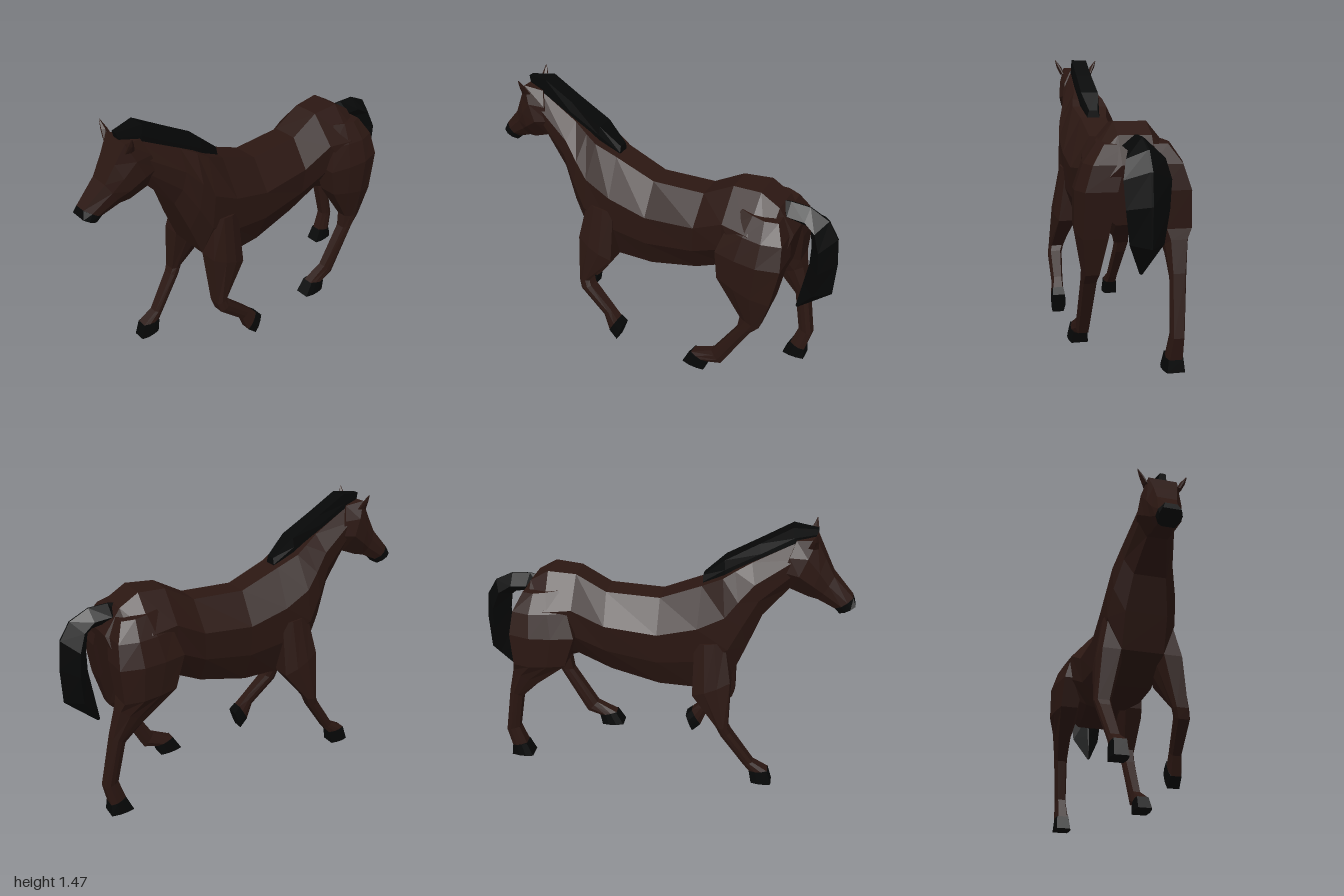
import * as THREE from 'three';

const coat = new THREE.MeshStandardMaterial({ color: 0x2b1712, flatShading: true });
const black = new THREE.MeshStandardMaterial({ color: 0x060707, flatShading: true });

// Skins a row of rings. Each ring is [az, ay, bz, by, xCentre, halfWidths]:
// it runs from edge point a to edge point b, with half widths spread between them.
function loft(name, material, rings) {
  const pos = [], index = [];
  const n = rings[0][5].length, m = n * 2;
  for (const [az, ay, bz, by, x, widths] of rings) {
    for (let k = 0; k < m; k++) {
      const i = k < n ? k : m - 1 - k;
      const t = i / (n - 1);
      pos.push(x + (k < n ? 1 : -1) * widths[i], ay + (by - ay) * t, az + (bz - az) * t);
    }
  }
  for (let r = 0; r < rings.length - 1; r++) {
    for (let k = 0; k < m; k++) {
      const a = r * m + k, b = r * m + (k + 1) % m;
      index.push(a, b, b + m, a, b + m, a + m);
    }
  }
  const last = (rings.length - 1) * m;
  for (let k = 1; k < m - 1; k++) {
    index.push(0, k + 1, k, last, last + k, last + k + 1);
  }
  const indexed = new THREE.BufferGeometry();
  indexed.setAttribute('position', new THREE.Float32BufferAttribute(pos, 3));
  indexed.setIndex(index);
  const geometry = indexed.toNonIndexed();
  geometry.computeVertexNormals();
  const mesh = new THREE.Mesh(geometry, material);
  mesh.name = name;
  return mesh;
}

// Limb rings are [backZ, backY, frontZ, frontY, xCentre, halfWidth]
const limb = (name, material, rings, profile) =>
  loft(name, material, rings.map(([az, ay, bz, by, x, w]) => [az, ay, bz, by, x, profile.map(p => p * w)]));

// The limb ends on the hoof's top ring, so the two always meet
function leg(name, side, upper, lower, hoof, profile) {
  const group = new THREE.Group();
  group.name = name;
  const place = rings => rings.map(r => [...r.slice(0, 4), r[4] * side, r[5]]);
  group.add(limb(name + 'Limb', coat, place([...upper, ...lower, hoof[0]]), profile));
  group.add(limb(name + 'Hoof', black, place(hoof), [0.85, 1, 1, 0.8]));
  return group;
}

export function createModel() {
  const horse = new THREE.Group();
  horse.name = 'horse';

  // Trunk and neck, rump to throat
  horse.add(loft('body', coat, [
    [-0.74, 0.68, -0.785, 0.96, 0, [0.1, 0.2, 0.18, 0.08]],
    [-0.68, 0.62, -0.70, 1.09, 0, [0.1, 0.25, 0.235, 0.08]],
    [-0.58, 0.63, -0.60, 1.15, 0, [0.1, 0.25, 0.225, 0.08]],
    [-0.45, 0.68, -0.45, 1.14, 0, [0.1, 0.195, 0.2, 0.07]],
    [-0.27, 0.59, -0.29, 1.05, 0, [0.085, 0.165, 0.178, 0.07]],
    [0, 0.53, 0, 1.04, 0, [0.095, 0.165, 0.175, 0.07]],
    [0.2, 0.53, 0.22, 1.13, 0, [0.1, 0.17, 0.18, 0.075]],
    [0.4, 0.64, 0.33, 1.19, 0, [0.11, 0.18, 0.178, 0.1]],
    [0.47, 0.82, 0.39, 1.23, 0, [0.11, 0.165, 0.165, 0.09]],
    [0.54, 1.0, 0.47, 1.275, 0, [0.085, 0.13, 0.135, 0.065]],
    [0.67, 1.15, 0.70, 1.4, 0, [0.05, 0.09, 0.09, 0.045]],
  ]));

  // Head, turned slightly to its right
  horse.add(loft('head', coat, [
    [0.6, 1.17, 0.68, 1.4, 0, [0.05, 0.095, 0.09, 0.05]],
    [0.67, 1.145, 0.78, 1.42, 0, [0.055, 0.115, 0.105, 0.075]],
    [0.76, 1.11, 0.83, 1.325, -0.005, [0.05, 0.095, 0.09, 0.06]],
    [0.81, 1.1, 0.88, 1.23, -0.015, [0.045, 0.072, 0.072, 0.05]],
    [0.9, 1.06, 0.985, 1.12, -0.03, [0.04, 0.06, 0.055, 0.03]],
  ]));
  horse.add(loft('muzzle', black, [
    [0.9, 1.06, 0.985, 1.12, -0.03, [0.041, 0.061, 0.056, 0.031]],
    [0.925, 1.03, 1.0, 1.08, -0.03, [0.032, 0.052, 0.057, 0.045]],
  ]));

  // Ears
  for (const side of [1, -1]) {
    horse.add(limb(side > 0 ? 'leftEar' : 'rightEar', coat, [
      [0.79, 1.38, 0.74, 1.38, 0.085 * side, 0.014],
      [0.785, 1.425, 0.755, 1.425, 0.107 * side, 0.014],
      [0.777, 1.465, 0.773, 1.465, 0.128 * side, 0.003],
    ], [0.3, 1, 0.3]));
  }

  // Mane along the crest, narrowing at both ends
  horse.add(loft('mane', black, [
    [0.22, 1.1, 0.22, 1.17, 0, [0.035, 0.035, 0.025]],
    [0.34, 1.17, 0.33, 1.27, 0, [0.055, 0.055, 0.05]],
    [0.52, 1.27, 0.5, 1.37, 0, [0.055, 0.055, 0.045]],
    [0.68, 1.36, 0.66, 1.465, 0, [0.048, 0.048, 0.045]],
    [0.77, 1.4, 0.785, 1.455, 0, [0.02, 0.02, 0.015]],
  ]));

  // Tail, diamond in section, arching back and down to a point
  horse.add(limb('tail', black, [
    [-0.69, 1.09, -0.69, 1.0, 0, 0.02],
    [-0.73, 1.095, -0.74, 0.995, 0, 0.07],
    [-0.83, 1.09, -0.82, 0.98, 0, 0.065],
    [-0.93, 1.04, -0.845, 0.96, 0, 0.09],
    [-0.985, 0.95, -0.86, 0.87, 0, 0.11],
    [-1.0, 0.8, -0.86, 0.76, 0, 0.1],
    [-0.995, 0.615, -0.84, 0.63, 0, 0.08],
    [-0.83, 0.465, -0.815, 0.47, 0, 0.008],
  ], [0.05, 1, 0.05]));

  // Front legs: the left is folded back, the right reaches forward
  const foreProfile = [0.7, 1, 1, 0.7];
  const shoulder = [
    [0.2, 0.84, 0.36, 0.86, 0.12, 0.065],
    [0.2, 0.54, 0.4, 0.64, 0.16, 0.068],
    [0.335, 0.37, 0.4, 0.36, 0.2, 0.042],
  ];
  horse.add(leg('frontLeftLeg', 1, shoulder, [
    [0.32, 0.34, 0.385, 0.305, 0.21, 0.04],
    [0.19, 0.215, 0.235, 0.165, 0.22, 0.031],
  ], [
    [0.145, 0.165, 0.2, 0.07, 0.225, 0.036],
    [0.11, 0.13, 0.15, 0.02, 0.225, 0.04],
  ], foreProfile));
  horse.add(leg('frontRightLeg', -1, shoulder, [
    [0.365, 0.305, 0.415, 0.33, 0.195, 0.038],
    [0.495, 0.115, 0.545, 0.135, 0.18, 0.031],
  ], [
    [0.53, 0.075, 0.63, 0.085, 0.178, 0.038],
    [0.545, 0, 0.655, 0, 0.178, 0.043],
  ], foreProfile));

  // Hind legs: the left steps forward, the right trails
  const hindProfile = [0.72, 1, 0.88, 0.6];
  const haunch = [
    [-0.725, 1.05, -0.53, 1.07, 0.09, 0.085],
    [-0.77, 0.96, -0.475, 0.97, 0.14, 0.1],
    [-0.785, 0.84, -0.435, 0.84, 0.175, 0.105],
  ];
  horse.add(leg('hindLeftLeg', 1, haunch, [
    [-0.75, 0.62, -0.455, 0.69, 0.195, 0.083],
    [-0.7, 0.44, -0.59, 0.47, 0.2, 0.046],
    [-0.655, 0.39, -0.58, 0.39, 0.205, 0.04],
    [-0.5, 0.1, -0.44, 0.165, 0.205, 0.034],
  ], [
    [-0.42, 0.08, -0.32, 0.105, 0.205, 0.042],
    [-0.405, 0.02, -0.275, 0.03, 0.205, 0.05],
  ], hindProfile));
  horse.add(leg('hindRightLeg', -1, haunch, [
    [-0.775, 0.66, -0.49, 0.67, 0.195, 0.083],
    [-0.79, 0.61, -0.66, 0.53, 0.19, 0.055],
    [-0.83, 0.46, -0.765, 0.42, 0.18, 0.04],
    [-0.885, 0.17, -0.81, 0.19, 0.165, 0.034],
  ], [
    [-0.86, 0.06, -0.775, 0.08, 0.16, 0.042],
    [-0.865, 0, -0.74, 0, 0.16, 0.05],
  ], hindProfile));

  return horse;
}
